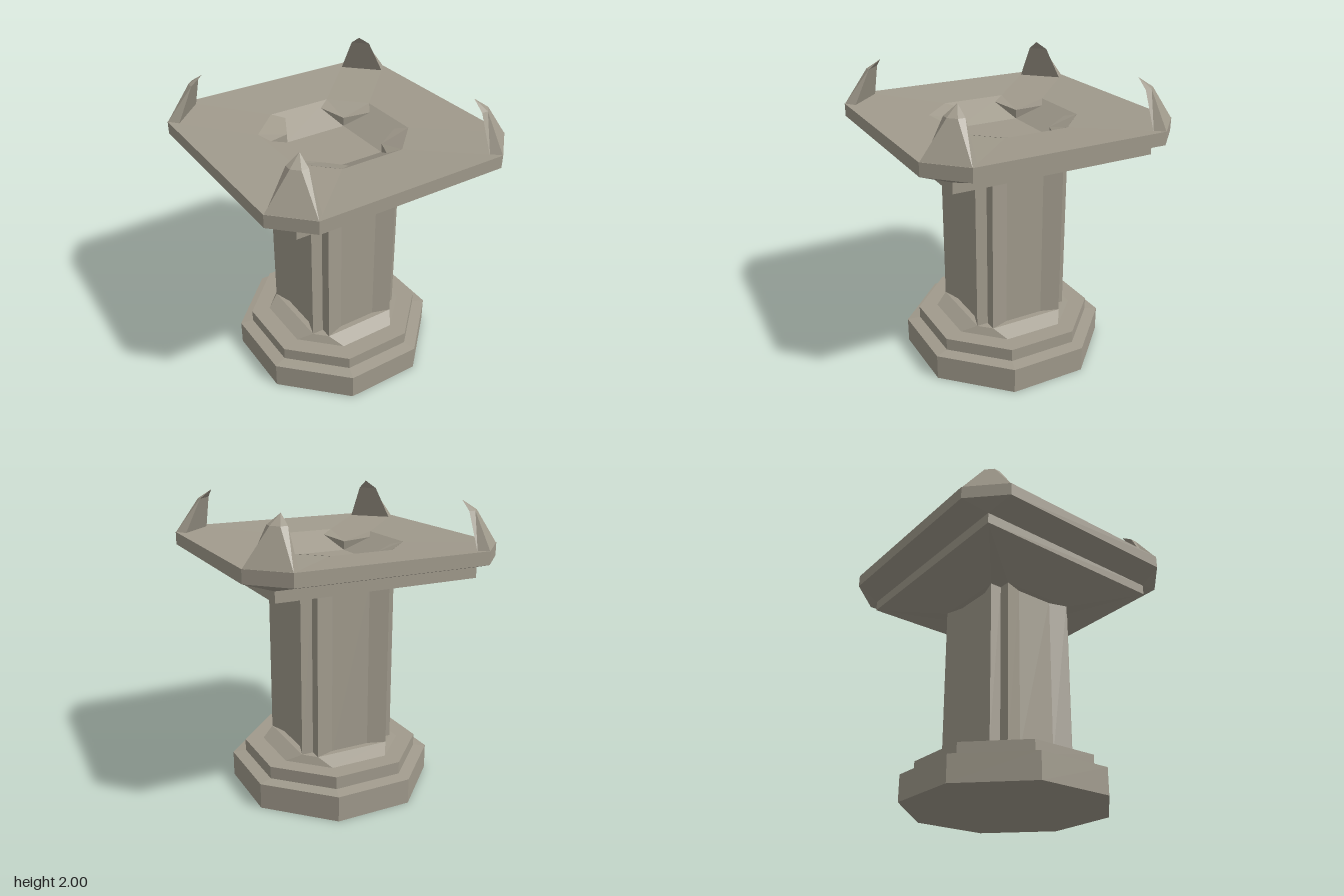
import * as THREE from 'three';

const stone = new THREE.MeshStandardMaterial({ color: 0xa09a8c, flatShading: true, side: THREE.DoubleSide });
stone.name = 'warm grey stone';

// Flat-shaded mesh from triangles of [x, y, z] corners; collapsed triangles are dropped
function facets(name, triangles) {
  const solid = triangles.filter(t => {
    const [a, b, c] = t.map(p => new THREE.Vector3(...p));
    return b.sub(a).cross(c.sub(a)).length() > 1e-7;
  });
  const geometry = new THREE.BufferGeometry();
  geometry.setAttribute('position', new THREE.Float32BufferAttribute(solid.flat(2), 3));
  geometry.computeVertexNormals();
  const mesh = new THREE.Mesh(geometry, stone);
  mesh.name = name;
  return mesh;
}

// Skin between rings listed upwards, each counterclockwise from above, with end caps
function loft(name, rings, caps = true) {
  const tris = [];
  const n = rings[0].length;
  for (let r = 0; r < rings.length - 1; r++) {
    for (let i = 0; i < n; i++) {
      const j = (i + 1) % n;
      const [a, b, c, d] = [rings[r][i], rings[r][j], rings[r + 1][j], rings[r + 1][i]];
      tris.push([a, b, c], [a, c, d]);
    }
  }
  if (caps) {
    const bottom = rings[0];
    const top = rings[rings.length - 1];
    for (let i = 1; i < n - 1; i++) {
      tris.push([bottom[0], bottom[i + 1], bottom[i]], [top[0], top[i], top[i + 1]]);
    }
  }
  return facets(name, tris);
}

// Repeat the points of the front side around the four sides
function fourSides(points, y) {
  const ring = [];
  for (let k = 0; k < 4; k++) {
    for (let [x, z] of points) {
      for (let q = 0; q < k; q++) [x, z] = [z, -x];
      ring.push([x, y, z]);
    }
  }
  return ring;
}

// Square with cut corners: half width w, half length c of each straight side
const octagon = ([w, c, y]) => fourSides([[-c, w], [c, w]], y);

export function createModel() {
  const model = new THREE.Group();
  model.name = 'pedestal';

  // Stepped octagonal foot
  model.add(loft('base', [
    [0.645, 0.262, 0], [0.645, 0.262, 0.175], [0.56, 0.235, 0.185],
    [0.56, 0.235, 0.27], [0.435, 0.2, 0.27], [0.34, 0.26, 0.32],
  ].map(octagon)));

  // Shaft with hollowed sides and notched corners
  const side = [[-0.26, 0.26], [-0.26, 0.34], [-0.135, 0.3], [0.135, 0.3], [0.26, 0.34]];
  model.add(loft('column', [fourSides(side, 0.3), fourSides(side, 1.44)], false));

  // Flared capital, stepped tray and the sunken basin in its top
  model.add(loft('capital', [
    [0.34, 0.26, 1.42], [0.685, 0.685, 1.515], [0.685, 0.685, 1.585],
    [0.86, 0.645, 1.635], [0.86, 0.645, 1.72], [0.43, 0.22, 1.69], [0.22, 0.22, 1.575],
  ].map(octagon)));

  for (let k = 0; k < 4; k++) {
    const corner = new THREE.Group();
    corner.name = 'corner' + (k + 1);
    corner.rotation.y = k * Math.PI / 2;

    // Claw leaning inwards from the tray corner
    const tip = [0.605, 2, 0.605];
    corner.add(loft('claw', [
      [[0.645, 1.715, 0.86], [0.86, 1.715, 0.645], [0.81, 1.7, 0.59], [0.59, 1.7, 0.81]],
      [[0.645, 1.94, 0.69], [0.69, 1.94, 0.645], [0.69, 1.94, 0.6], [0.6, 1.94, 0.69]],
      [tip, tip, tip, tip],
    ], false));

    // Wedge jutting into the basin corner
    const nose = [0.22, 1.635, 0.22], foot = [0.22, 1.575, 0.22];
    const p = [0.14, 1.665, 0.38], q = [0.38, 1.665, 0.14];
    const r = [0.22, 1.691, 0.43], s = [0.43, 1.691, 0.22];
    corner.add(facets('basinWedge', [
      [nose, p, r], [nose, r, s], [nose, s, q], [nose, foot, p], [nose, q, foot],
    ]));
    model.add(corner);
  }
  return model;
}
